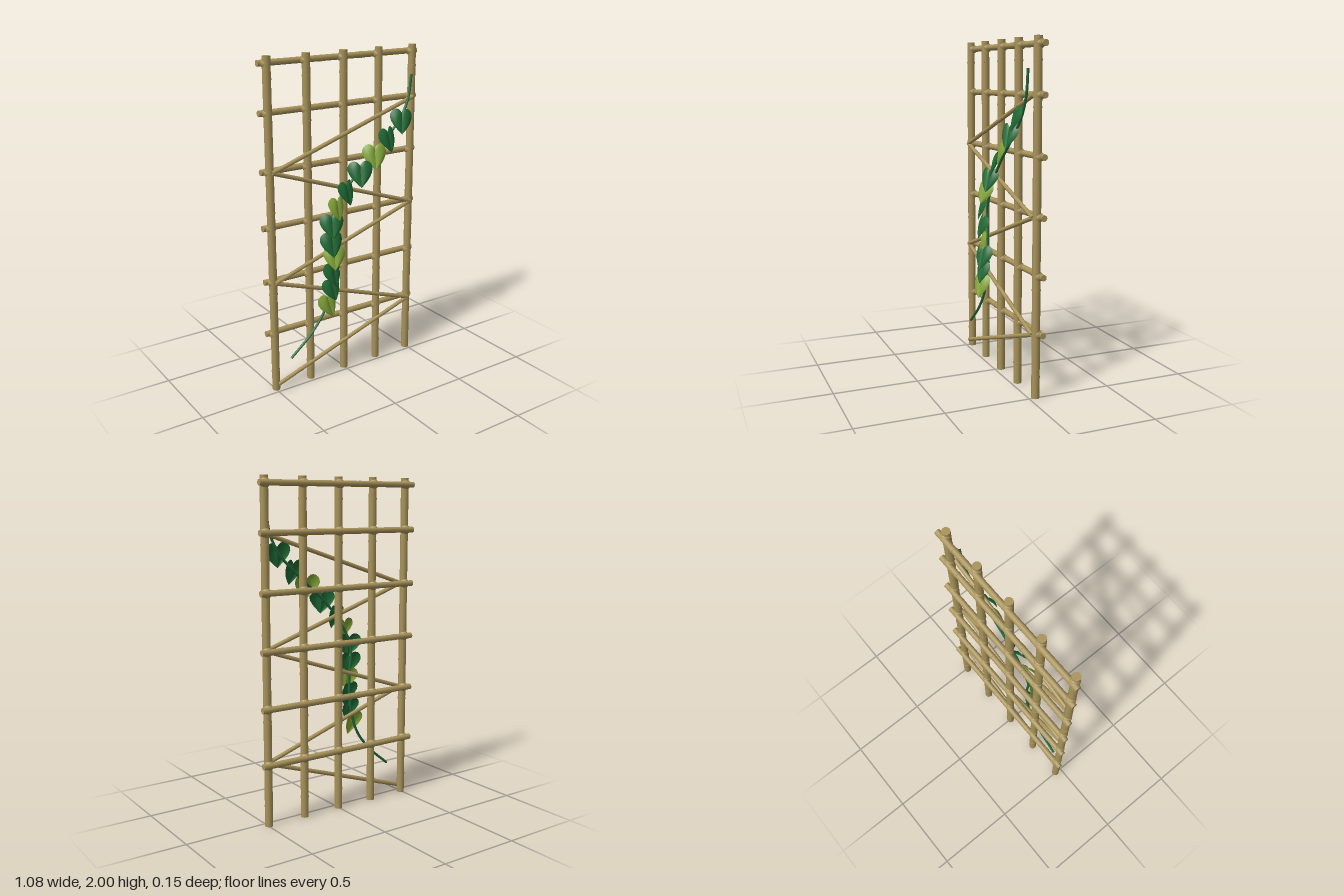
import * as THREE from 'three';

const mat = (name, color, side = THREE.FrontSide) => {
  const m = new THREE.MeshStandardMaterial({ color, side });
  m.name = name;
  return m;
};

export function createModel() {
  const bamboo = mat('bamboo', 0xa8935a);
  const darkLeaf = mat('darkLeaf', 0x1f6b35, THREE.DoubleSide);
  const lightLeaf = mat('lightLeaf', 0x86a83a, THREE.DoubleSide);
  const stem = mat('vineStem', 0x226b3a);

  const model = new THREE.Group();
  model.name = 'bambooTrellis';
  const add = (parent, name, geometry, material) => {
    const mesh = new THREE.Mesh(geometry, material);
    mesh.name = name;
    parent.add(mesh);
    return mesh;
  };

  // A cane between two points, with slightly raised rings along it
  const cane = (name, a, b, radius, firstNode, spacing) => {
    const group = new THREE.Group();
    group.name = name;
    const length = a.distanceTo(b);
    group.position.copy(a);
    group.quaternion.setFromUnitVectors(new THREE.Vector3(0, 1, 0), b.clone().sub(a).normalize());
    add(group, 'cane', new THREE.CylinderGeometry(radius, radius, length, 10), bamboo).position.y = length / 2;
    for (let y = firstNode; y < length - 0.02; y += spacing) {
      add(group, 'node', new THREE.CylinderGeometry(radius * 1.07, radius * 1.07, 0.01, 10), bamboo).position.y = y;
    }
    model.add(group);
  };
  const V = (x, y, z) => new THREE.Vector3(x, y, z);

  // Upright poles, rails behind them and a rounded joint at each crossing
  const poleX = [-0.495, -0.2475, 0, 0.2475, 0.495];
  const railY = [0.37, 0.7, 1.03, 1.36, 1.69, 1.96];
  for (const x of poleX) cane('pole', V(x, 0, -0.04), V(x, 2, -0.04), 0.024, 0.125, 0.25);
  for (const y of railY) {
    cane('rail', V(-0.54, y, -0.064), V(0.54, y, -0.064), 0.018, 0.135, 0.27);
    for (const x of poleX) {
      add(model, 'joint', new THREE.SphereGeometry(0.031, 10, 7), bamboo).position.set(x, y, -0.048);
    }
  }

  // Zigzag brace across the front
  const braceY = [0.04, 0.37, 0.7, 1.03, 1.36, 1.69];
  for (let i = 0; i < 5; i++) {
    const side = i % 2 ? 1 : -1;
    cane('brace', V(side * 0.49, braceY[i], -0.018), V(-side * 0.49, braceY[i + 1], -0.018), 0.0125, 0.17, 0.35);
  }

  // Vine stem
  const vinePath = new THREE.CatmullRomCurve3([
    [-0.41, 0.2], [-0.27, 0.32], [-0.17, 0.45], [-0.12, 0.62], [-0.11, 0.82], [-0.12, 0.99],
    [-0.04, 1.15], [0.09, 1.3], [0.24, 1.43], [0.38, 1.57], [0.44, 1.69], [0.46, 1.83],
  ].map(([x, y]) => V(x, y, 0.002)));
  add(model, 'vineStem', new THREE.TubeGeometry(vinePath, 70, 0.008, 7), stem);

  // Heart-shaped leaf: each half is lofted from the midrib to the outline
  const outline = new THREE.CatmullRomCurve3([
    [0, 0.046], [0.018, 0.068], [0.043, 0.073], [0.067, 0.056], [0.075, 0.025],
    [0.06, -0.016], [0.03, -0.055], [0, -0.085],
  ].map(([x, y]) => V(x, y, 0)));
  const rows = 12, cols = 4;
  const halfLeaf = (side) => {
    const pos = [], index = [];
    for (let i = 0; i <= rows; i++) {
      const edge = outline.getPoint(i / rows);
      const ribY = THREE.MathUtils.lerp(0.046, -0.085, i / rows);
      for (let j = 0; j <= cols; j++) {
        const s = j / cols, x = edge.x * s;
        const dome = 0.012 * Math.sin(Math.PI * s) * Math.sin(Math.PI * i / rows);
        pos.push(side * x, THREE.MathUtils.lerp(ribY, edge.y, s), dome - 3 * x * x);
        if (i < rows && j < cols) {
          const a = i * (cols + 1) + j, b = a + 1, c = a + cols + 1, d = c + 1;
          if (side > 0) index.push(a, c, b, b, c, d);
          else index.push(a, b, c, b, d, c);
        }
      }
    }
    const g = new THREE.BufferGeometry();
    g.setAttribute('position', new THREE.Float32BufferAttribute(pos, 3));
    g.setIndex(index);
    g.computeVertexNormals();
    return g;
  };
  const halves = [halfLeaf(1), halfLeaf(-1)];

  // Leaves down the vine: x, y, yaw, roll, scale; every third one is young and light
  const leaves = [
    [0.37, 1.565, -0.2, -0.1, 0.97], [0.275, 1.465, 0.25, 0.05, 0.97], [0.175, 1.375, -0.3, 0, 1],
    [0.07, 1.285, -0.5, 0.05, 1], [-0.02, 1.185, 0.35, 0, 0.95], [-0.09, 1.1, 0.3, -0.1, 0.9],
    [-0.13, 1.0, -0.3, 0, 0.98], [-0.13, 0.885, -0.1, 0, 0.98], [-0.115, 0.795, -0.35, 0, 0.9],
    [-0.12, 0.695, 0.3, 0, 1], [-0.13, 0.6, 0.15, 0.1, 0.92], [-0.155, 0.505, 0.25, 0.15, 1],
  ];
  leaves.forEach(([x, y, yaw, roll, scale], i) => {
    const leaf = new THREE.Group();
    leaf.name = 'leaf';
    for (const half of halves) add(leaf, 'leafHalf', half, i % 3 === 2 ? lightLeaf : darkLeaf);
    leaf.position.set(x, y, 0.037);
    leaf.rotation.set(-0.25, yaw, roll, 'YXZ');
    leaf.scale.setScalar(scale);
    model.add(leaf);
  });

  return model;
}
